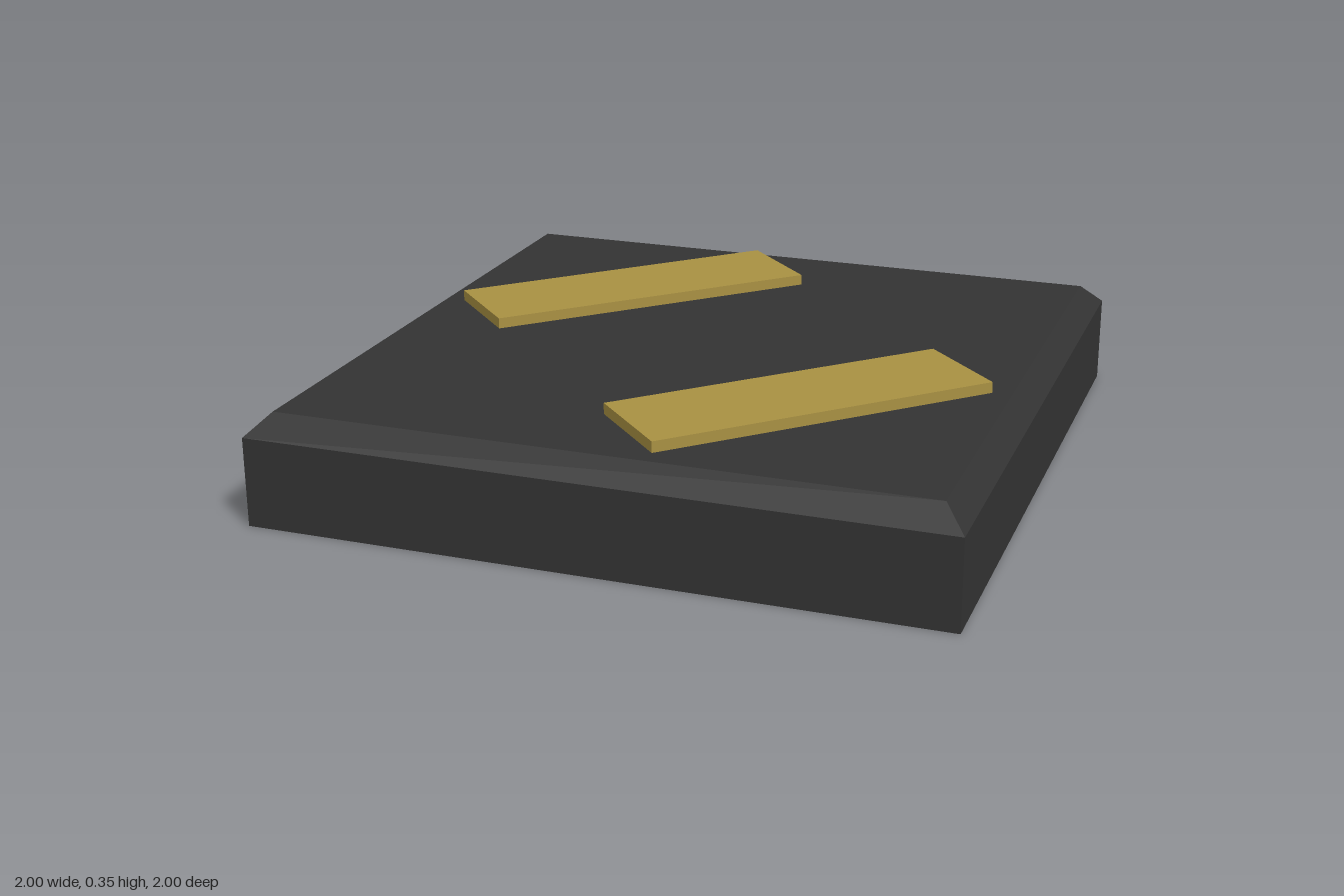
import * as THREE from 'three';

export function createModel() {
  const model = new THREE.Group();
  const charcoal = new THREE.MeshStandardMaterial({ color: 0x333333 });
  charcoal.name = 'charcoal';
  charcoal.side = THREE.DoubleSide;
  const gold = new THREE.MeshStandardMaterial({ color: 0xa89042 });
  gold.name = 'gold';

  const add = (name, geometry, material, x, y, z) => {
    const mesh = new THREE.Mesh(geometry, material);
    mesh.name = name;
    mesh.position.set(x, y, z);
    model.add(mesh);
    return mesh;
  };

  // Four-sided open ring with flat faces; sizes are half-widths
  const squareRing = (top, bottom, height) => {
    const g = new THREE.CylinderGeometry(
      top * Math.SQRT2, bottom * Math.SQRT2, height, 4, 1, true, Math.PI / 4
    ).toNonIndexed();
    g.computeVertexNormals();
    return g;
  };

  const wallTop = 0.26, lidY = 0.322, lidHalf = 0.937, barTop = 0.354;

  // Hollow tile, open underneath
  add('sideWalls', squareRing(1, 1, wallTop), charcoal, 0, wallTop / 2, 0);
  add('bevel', squareRing(lidHalf, 1, lidY - wallTop), charcoal, 0, (wallTop + lidY) / 2, 0);
  add('topPlate', new THREE.PlaneGeometry(lidHalf * 2, lidHalf * 2).rotateX(-Math.PI / 2),
    charcoal, 0, lidY, 0);

  // Two raised diagonal bars
  const bar = new THREE.BoxGeometry(1.04, barTop - lidY, 0.317);
  for (const [name, c] of [['backBar', -0.4], ['frontBar', 0.4]]) {
    add(name, bar, gold, c, (lidY + barTop) / 2, c).rotation.y = Math.PI / 4;
  }

  return model;
}
